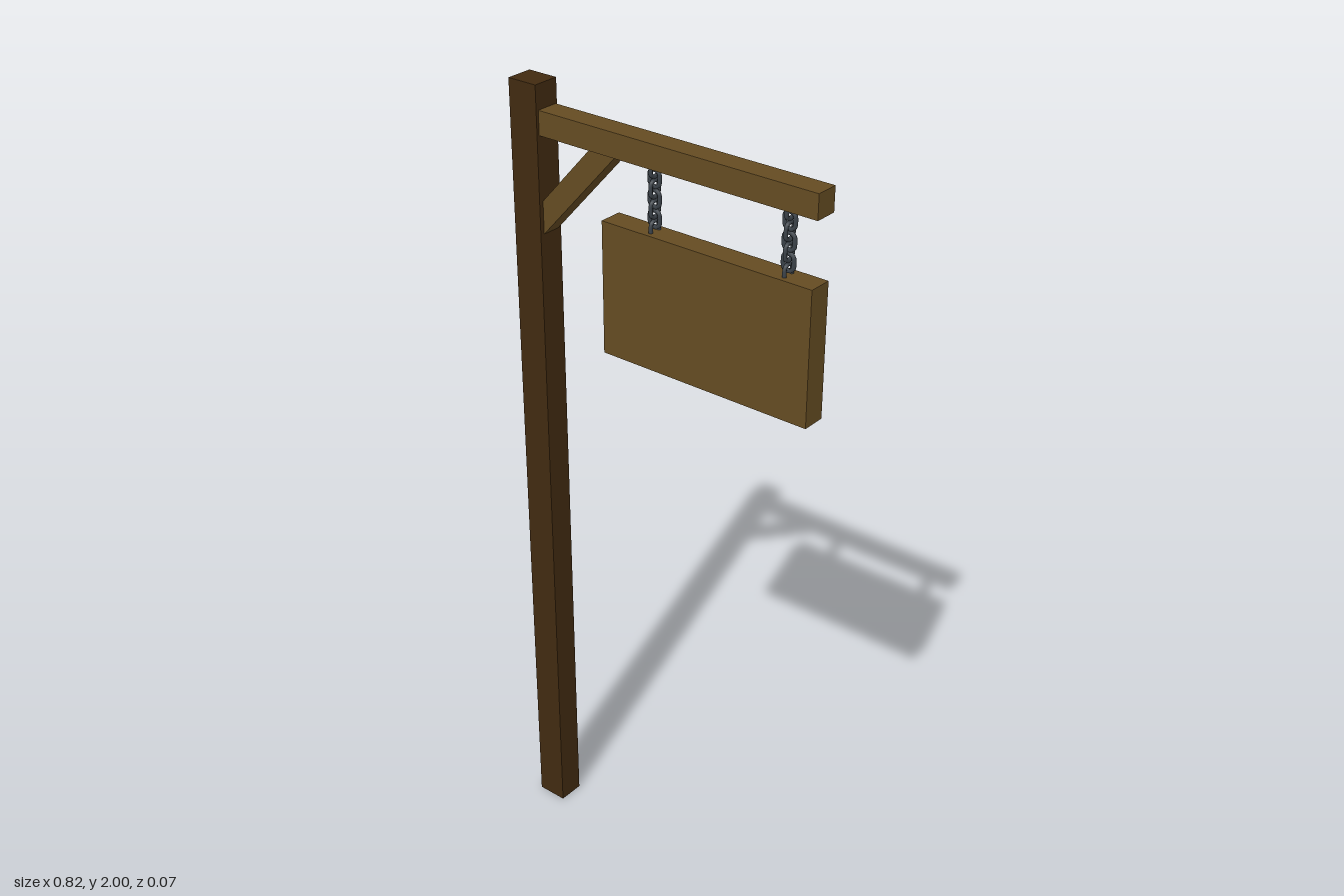
import * as THREE from 'three';

const mat = (name, color) => Object.assign(new THREE.MeshStandardMaterial({ color }), { name });

export function createModel() {
  const root = new THREE.Group();
  root.name = 'hangingSign';
  const darkWood = mat('dark wood', 0x412a10);
  const lightWood = mat('light wood', 0x644b22);
  const iron = mat('iron', 0x3c434a);

  // Box given by its limits on each axis
  const box = (name, material, [x0, x1], [y0, y1], [z0, z1]) => {
    const mesh = new THREE.Mesh(new THREE.BoxGeometry(x1 - x0, y1 - y0, z1 - z0), material);
    mesh.position.set((x0 + x1) / 2, (y0 + y1) / 2, (z0 + z1) / 2);
    mesh.name = name;
    root.add(mesh);
  };

  box('post', darkWood, [-0.408, -0.33], [0, 2], [-0.034, 0.033]);
  box('beam', lightWood, [-0.33, 0.408], [1.885, 1.942], [-0.03, 0.026]);
  box('signBoard', lightWood, [-0.152, 0.404], [1.417, 1.736], [-0.029, 0.029]);

  // Diagonal brace, mitred against post and beam
  const outline = new THREE.Shape([
    [-0.33, 1.653], [-0.118, 1.885], [-0.19, 1.885], [-0.33, 1.732],
  ].map(([x, y]) => new THREE.Vector2(x, y)));
  const brace = new THREE.Mesh(
    new THREE.ExtrudeGeometry(outline, { depth: 0.048, bevelEnabled: false }), lightWood);
  brace.position.z = -0.026;
  brace.name = 'brace';
  root.add(brace);

  // Chain link: an oblong ring of wire
  const ring = [];
  for (let i = 0; i < 16; i++) {
    const a = (i / 16) * Math.PI * 2 + Math.PI / 16;
    ring.push(new THREE.Vector3(
      0.013 * Math.cos(a), 0.01 * Math.sin(a) + 0.009 * Math.sign(Math.sin(a)), 0));
  }
  const linkGeometry = new THREE.TubeGeometry(
    new THREE.CatmullRomCurve3(ring, true), 24, 0.005, 6, true);

  // Two chains, their links turned alternately by a quarter
  for (const [name, x] of [['rightChain', -0.027], ['leftChain', 0.324]]) {
    const chain = new THREE.Group();
    chain.name = name;
    for (let i = 0; i < 7; i++) {
      const link = new THREE.Mesh(linkGeometry, iron);
      link.name = 'chainLink';
      link.position.y = 1.742 + i * 0.0228;
      link.rotation.y = i % 2 ? 0 : Math.PI / 2;
      chain.add(link);
    }
    chain.position.x = x;
    root.add(chain);
  }
  return root;
}
